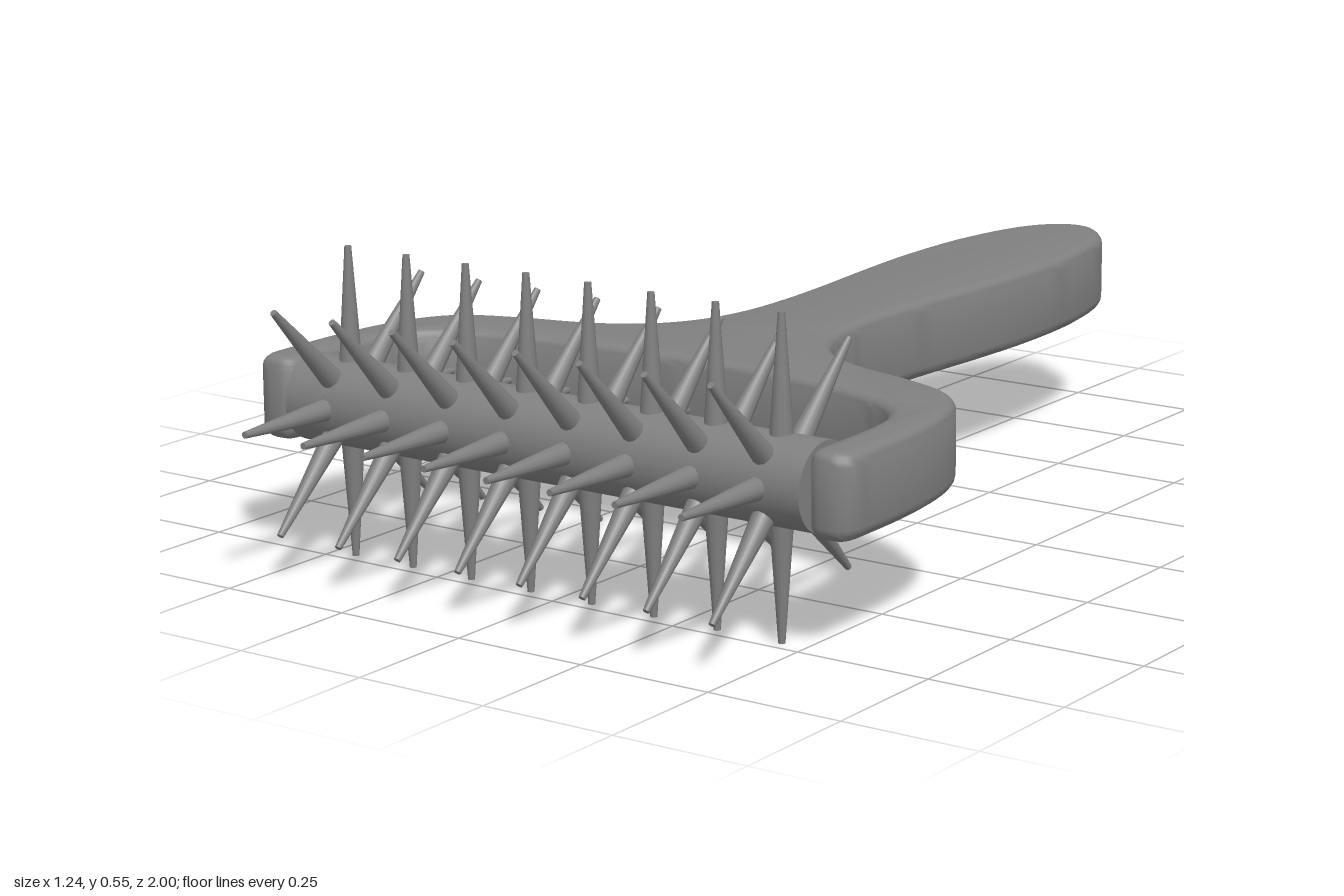
import * as THREE from 'three';
import { toCreasedNormals } from 'three/addons/utils/BufferGeometryUtils.js';

const AXIS_Y = 0.277, AXIS_Z = 0.725;

// Mirrors a right-half outline (centre point first) into a full left-to-right run.
function mirrored(half) {
  const left = half.slice(1).reverse().map(([x, z]) => [-x, z]);
  return [...left, ...half].map(([x, z]) => new THREE.Vector2(x, z));
}

// Handle and fork: one rounded slab cut from a plan outline (x, z)
function frameGeometry() {
  const outer = mirrored([
    [0, -1], [0.055, -0.977], [0.103, -0.9], [0.135, -0.75], [0.144, -0.58], [0.138, -0.42],
    [0.122, -0.22], [0.117, -0.08], [0.124, 0.03], [0.152, 0.125], [0.21, 0.2], [0.3, 0.25],
    [0.42, 0.283], [0.52, 0.325], [0.573, 0.39], [0.602, 0.48], [0.617, 0.6], [0.62, 0.74]
  ]);
  const inner = mirrored([
    [0, 0.38], [0.14, 0.385], [0.27, 0.4], [0.39, 0.425], [0.47, 0.46], [0.518, 0.52],
    [0.535, 0.61], [0.537, 0.745]
  ]).reverse();

  const shape = new THREE.Shape();
  shape.moveTo(outer[0].x, outer[0].y);
  shape.splineThru(outer.slice(1));
  shape.quadraticCurveTo(0.62, 0.785, 0.585, 0.787);
  shape.lineTo(0.565, 0.787);
  shape.quadraticCurveTo(0.537, 0.785, 0.537, 0.745);
  shape.splineThru(inner.slice(1));
  shape.quadraticCurveTo(-0.537, 0.785, -0.565, 0.787);
  shape.lineTo(-0.585, 0.787);
  shape.quadraticCurveTo(-0.62, 0.785, -0.62, 0.74);

  const bevel = 0.022, height = 0.148;
  const geometry = new THREE.ExtrudeGeometry(shape, {
    depth: height - 2 * bevel, curveSegments: 4, bevelEnabled: true,
    bevelSize: bevel, bevelThickness: bevel, bevelOffset: -bevel, bevelSegments: 4
  });
  geometry.rotateX(Math.PI / 2);
  geometry.translate(0, 0.278 + height / 2 - bevel, 0);
  return toCreasedNormals(geometry, 0.6);
}

export function createModel() {
  const model = new THREE.Group();
  model.name = 'spikedRoller';
  const grey = new THREE.MeshStandardMaterial({ color: 0x808080 });
  grey.name = 'grey';

  const add = (parent, geometry, name) => {
    const mesh = new THREE.Mesh(geometry, grey);
    mesh.name = name;
    parent.add(mesh);
    return mesh;
  };

  add(model, frameGeometry(), 'handleFrame');

  // Roller turning between the fork arms
  const roller = new THREE.Group();
  roller.name = 'roller';
  roller.position.set(0, AXIS_Y, AXIS_Z);
  model.add(roller);

  const drum = new THREE.CylinderGeometry(0.077, 0.077, 1.074, 40);
  drum.rotateZ(Math.PI / 2);
  add(roller, drum, 'drum');

  const axle = new THREE.CylinderGeometry(0.03, 0.03, 1.16, 20);
  axle.rotateZ(Math.PI / 2);
  add(roller, axle, 'axle');

  // Eight rings of eight tapered spikes
  const spike = new THREE.CylinderGeometry(0.006, 0.021, 0.217, 12);
  spike.translate(0, 0.06 + 0.217 / 2, 0);
  for (let row = 0; row < 8; row++) {
    const ring = new THREE.Group();
    ring.name = 'spikeRing';
    ring.position.x = -0.452 + (row * 0.904) / 7;
    roller.add(ring);
    for (let i = 0; i < 8; i++) {
      add(ring, spike, 'spike').rotation.x = (i * Math.PI) / 4;
    }
  }
  return model;
}
